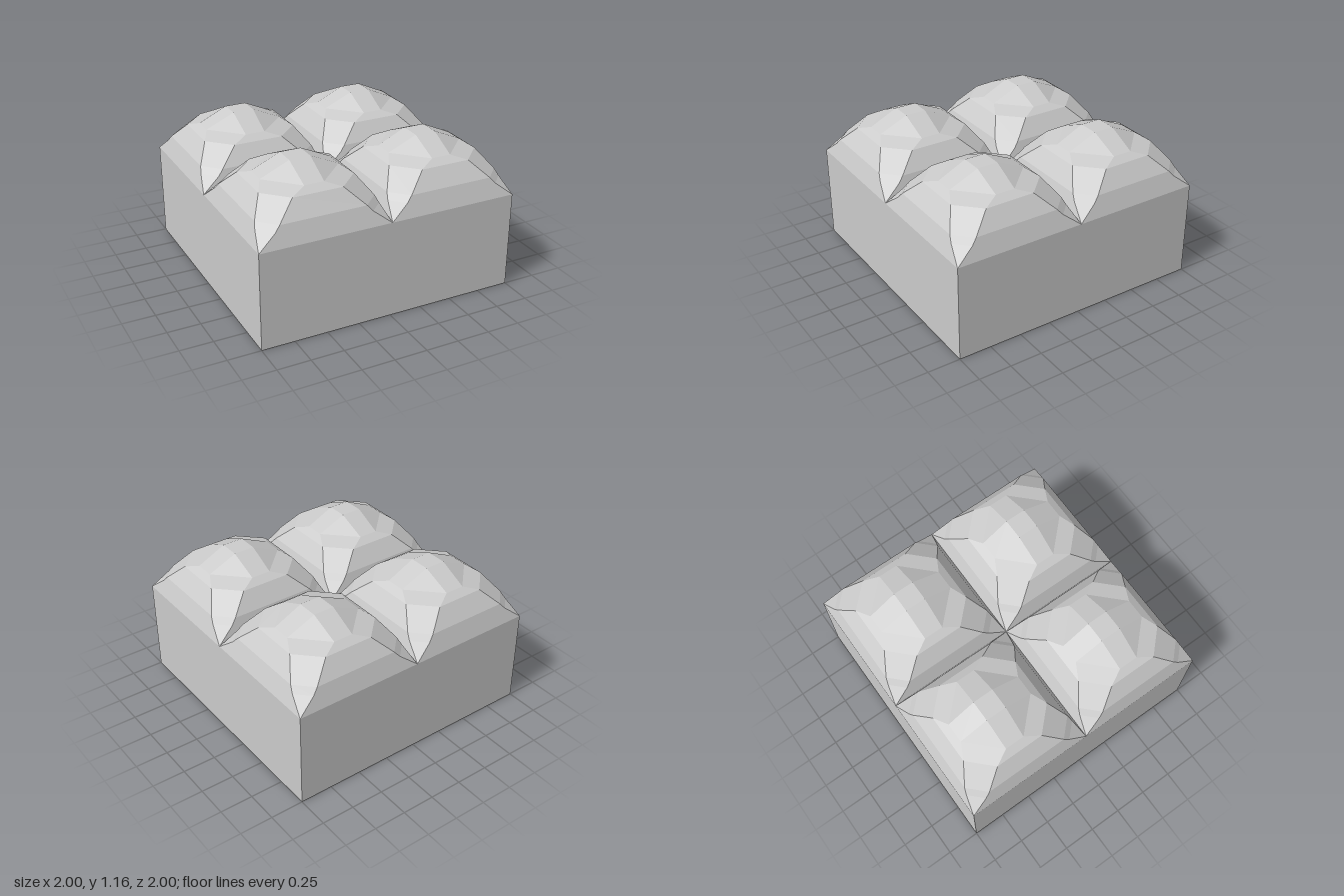
import * as THREE from 'three';

const BASE_HEIGHT = 0.74;

// Cushion rings, bottom to top: [inset of sides, start of corner cut, height]
const RINGS = [
  [0, 0, 0.74],
  [0.035, 0.135, 0.845],
  [0.05, 0.175, 0.89],
  [0.14, 0.31, 1.02],
  [0.2, 0.425, 1.06],
  [0.42, 0.42, 1.16],
];

// Eight corners of a square ring with cut corners, centred on the tile
function ringPoints([inset, cut, y]) {
  const e = 0.5 - inset, c = 0.5 - cut;
  return [[e, -c], [e, c], [c, e], [-c, e], [-e, c], [-e, -c], [-c, -e], [c, -e]]
    .map(([x, z]) => new THREE.Vector3(x, y, z));
}

function cushionGeometry() {
  const rings = RINGS.map(ringPoints);
  const corners = [];
  const triangle = (a, b, c) => {
    const area = new THREE.Triangle(a, b, c).getArea();
    if (area > 1e-7) corners.push(a, b, c);
  };
  // Sloping bands between rings
  for (let r = 0; r < rings.length - 1; r++) {
    for (let i = 0; i < 8; i++) {
      const j = (i + 1) % 8;
      const a = rings[r][i], b = rings[r][j];
      const c = rings[r + 1][j], d = rings[r + 1][i];
      triangle(a, c, b);
      triangle(a, d, c);
    }
  }
  // Flat crown
  const top = rings[rings.length - 1];
  const centre = new THREE.Vector3(0, top[0].y, 0);
  for (let i = 0; i < 8; i++) triangle(centre, top[(i + 1) % 8], top[i]);

  const geometry = new THREE.BufferGeometry().setFromPoints(corners);
  geometry.computeVertexNormals();
  return geometry;
}

export function createModel() {
  const model = new THREE.Group();
  model.name = 'cushionedBlock';
  const material = new THREE.MeshStandardMaterial({ color: 0xcccccc, flatShading: true });

  // Square block
  const base = new THREE.Mesh(new THREE.BoxGeometry(2, BASE_HEIGHT, 2), material);
  base.name = 'base';
  base.position.y = BASE_HEIGHT / 2;
  model.add(base);

  // Four faceted cushions on top
  const geometry = cushionGeometry();
  for (const x of [-0.5, 0.5]) {
    for (const z of [-0.5, 0.5]) {
      const cushion = new THREE.Mesh(geometry, material);
      cushion.name = `cushion${z > 0 ? 'Front' : 'Back'}${x > 0 ? 'Left' : 'Right'}`;
      cushion.position.set(x, 0, z);
      model.add(cushion);
    }
  }
  return model;
}
